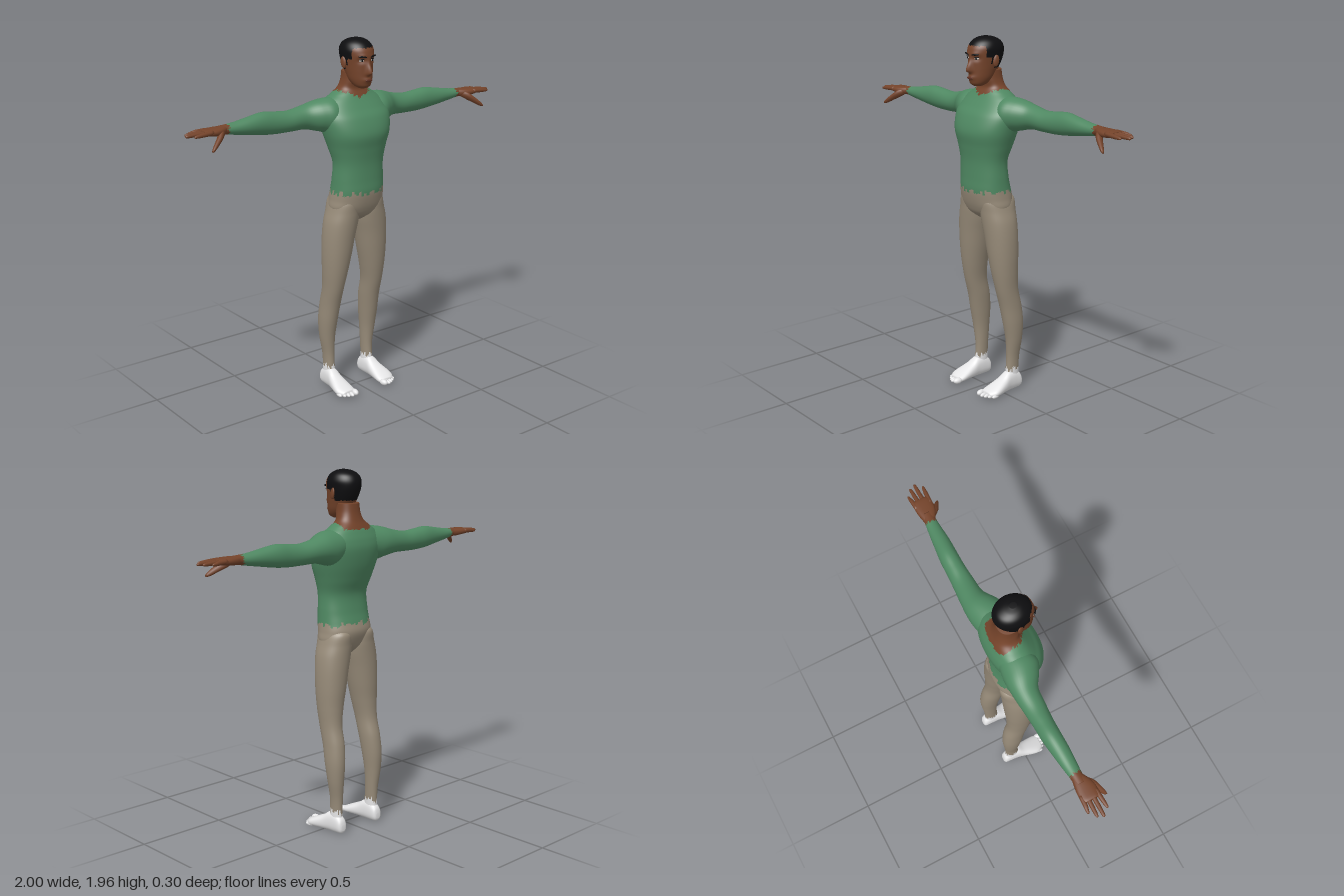
import * as THREE from 'three';

const mat = (name, color) => Object.assign(new THREE.MeshStandardMaterial({ color }), { name });
const skin = mat('skin', 0x74432a);
const shirt = mat('shirt green', 0x4f8862);
const trousers = mat('trouser taupe', 0x968a78);
const sock = mat('sock white', 0xe9e9ea);
const hair = mat('hair black', 0x0e0e10);
const eyeWhite = mat('eye white', 0xb9aea4);
const lip = mat('lip brown', 0x613325);

const ORDER = { x: [0, 1, 2], y: [1, 2, 0], z: [2, 0, 1] };

// Repeatable ragged value 0..1 for each column of a loft
const ragged = (j) => Math.abs(Math.sin(j * 12.9898 + 4.1) * 43758.5453) % 1;

// Smooth loft along an axis. Each section is [t, aMin, aMax, bMin, bMax],
// where (t, a, b) are (x, y, z), (y, z, x) or (z, x, y).
function loft(name, axis, sections, materials, o = {}) {
  const { segs = 32, steps = 5, power = 2, mirror = 1, pick, bend } = o;
  const rows = (sections.length - 1) * steps;
  const at = (i) => sections[Math.min(Math.max(i, 0), sections.length - 1)];
  const pos = [];
  const push = (t, a, b) => {
    const v = [0, 0, 0];
    [t, a, b].forEach((n, k) => { v[ORDER[axis][k]] = n; });
    if (bend) bend(v);
    pos.push(v[0] * mirror, v[1], v[2]);
  };
  const round = (n) => Math.sign(n) * Math.abs(n) ** (2 / power);
  let first, last;
  for (let r = 0; r <= rows; r++) {
    const i = Math.min(Math.floor(r / steps), sections.length - 2), f = r / steps - i;
    const s = at(i).map((p1, k) => {
      const p0 = at(i - 1)[k], p2 = at(i + 1)[k], p3 = at(i + 2)[k];
      return p1 + 0.5 * f * (p2 - p0 + f * (2 * p0 - 5 * p1 + 4 * p2 - p3 + f * (3 * (p1 - p2) + p3 - p0)));
    });
    const [t, a0, a1, b0, b1] = s;
    const c = [t, (a0 + a1) / 2, (b0 + b1) / 2];
    if (r === 0) first = c;
    last = c;
    for (let j = 0; j < segs; j++) {
      const q = (j / segs) * Math.PI * 2;
      push(t, c[1] + (a1 - a0) / 2 * round(Math.cos(q)), c[2] + (b1 - b0) / 2 * round(Math.sin(q)));
    }
  }
  push(...first);
  push(...last);
  const start = (rows + 1) * segs, end = start + 1;
  const lists = materials.map(() => []);
  const face = (a, b, c, j) => {
    const mid = [0, 1, 2].map((k) => (pos[a * 3 + k] + pos[b * 3 + k] + pos[c * 3 + k]) / 3);
    lists[pick ? pick(mid[0], mid[1], mid[2], ragged(j)) : 0].push(...(mirror > 0 ? [a, b, c] : [a, c, b]));
  };
  for (let j = 0; j < segs; j++) {
    const k = (j + 1) % segs;
    face(start, k, j, j);
    for (let r = 0; r < rows; r++) {
      const p = r * segs, n = p + segs;
      face(p + j, p + k, n + k, j);
      face(p + j, n + k, n + j, j);
    }
    face(end, rows * segs + j, rows * segs + k, j);
  }
  const g = new THREE.BufferGeometry();
  g.setAttribute('position', new THREE.Float32BufferAttribute(pos, 3));
  g.setIndex(lists.flat());
  let offset = 0;
  lists.forEach((l, m) => { g.addGroup(offset, l.length, m); offset += l.length; });
  g.computeVertexNormals();
  const mesh = new THREE.Mesh(g, materials);
  mesh.name = name;
  return mesh;
}

function blob(name, material, p, s, turn = [0, 0, 0]) {
  const mesh = new THREE.Mesh(new THREE.SphereGeometry(1, 16, 10), material);
  mesh.name = name;
  mesh.position.set(...p);
  mesh.scale.set(...s);
  mesh.rotation.set(...turn);
  return mesh;
}

export function createModel() {
  const body = new THREE.Group();
  body.name = 'standingFigure';

  // Trunk: hips, waist, chest, shoulders and neck
  const trunk = [
    [0.985, -0.05, 0.03, 0.05], [1.02, -0.085, 0.075, 0.12], [1.06, -0.105, 0.096, 0.16], [1.11, -0.118, 0.11, 0.156],
    [1.16, -0.108, 0.117, 0.151], [1.22, -0.094, 0.115, 0.148], [1.31, -0.086, 0.115, 0.146],
    [1.39, -0.113, 0.125, 0.166], [1.47, -0.138, 0.137, 0.191], [1.55, -0.151, 0.113, 0.207],
    [1.60, -0.145, 0.078, 0.197], [1.64, -0.13, 0.05, 0.165], [1.67, -0.116, 0.032, 0.122],
    [1.70, -0.103, 0.02, 0.08], [1.74, -0.092, 0.03, 0.064], [1.79, -0.085, 0.035, 0.06],
  ].map(([y, back, front, w]) => [y, back, front, -w, w]);
  body.add(loft('trunk', 'y', trunk, [trousers, shirt, skin], {
    segs: 64, steps: 7, power: 2.25,
    pick: (x, y, z, r) => {
      if (y < 1.135 + r * 0.035) return 0;
      return Math.abs(x) < 0.097 && y > 1.648 + r * 0.016 + (z > -0.05 ? 0.35 * Math.abs(x) : 0) ? 2 : 1;
    },
  }));

  // Head with brow, nose, lips and cropped hair
  const skull = [
    [1.706, 0.035, 0.075, 0.02], [1.72, 0.0, 0.096, 0.042], [1.75, -0.035, 0.101, 0.059],
    [1.79, -0.062, 0.103, 0.068], [1.83, -0.086, 0.104, 0.075], [1.87, -0.1, 0.106, 0.081],
    [1.905, -0.1, 0.101, 0.083], [1.935, -0.083, 0.08, 0.07], [1.954, -0.05, 0.05, 0.045], [1.962, -0.015, 0.02, 0.015],
  ].map(([y, back, front, w]) => [y, back, front, -w, w]);
  const bump = (v, c, w) => Math.exp(-(((v - c) / w) ** 2));
  body.add(loft('head', 'y', skull, [skin, hair], {
    segs: 72, steps: 7,
    bend: (v) => {
      if (v[2] < 0.03) return;
      const [x, y] = v, ax = Math.abs(x);
      const ridge = y > 1.79 ? bump(y, 1.79, 0.045) : bump(y, 1.79, 0.012);
      v[2] += 0.032 * ridge * bump(x, 0, 0.013);
      v[2] += 0.009 * bump(y, 1.752, 0.013) * bump(x, 0, 0.026);
      v[2] -= 0.009 * bump(y, 1.853, 0.014) * bump(ax, 0.034, 0.018);
      v[2] += 0.004 * bump(y, 1.877, 0.01) * bump(ax, 0.03, 0.025);
    },
    pick: (x, y, z, r) => {
      const line = z > 0.055 ? 1.915 : z > 0.025 ? 1.855 : z > 0 ? 1.825 : 1.8;
      return y > line + r * 0.006 ? 1 : 0;
    },
  }));
  body.add(blob('lips', lip, [0, 1.751, 0.108], [0.023, 0.008, 0.005]));

  for (const s of [1, -1]) {
    const side = new THREE.Group();
    side.name = s > 0 ? 'leftSide' : 'rightSide';
    body.add(side);

    // Ear, eye and eyebrow
    side.add(
      blob('ear', skin, [s * 0.083, 1.84, 0.0], [0.008, 0.031, 0.017], [-0.15, s * -0.3, 0]),
      blob('eye', eyeWhite, [s * 0.034, 1.853, 0.089], [0.015, 0.006, 0.006], [0, s * 0.3, 0]),
      blob('iris', hair, [s * 0.033, 1.853, 0.0935], [0.006, 0.0058, 0.0035]),
      blob('upperLid', hair, [s * 0.034, 1.86, 0.0925], [0.017, 0.003, 0.004], [0, s * 0.3, 0]),
      blob('eyebrow', hair, [s * 0.034, 1.874, 0.1], [0.024, 0.005, 0.005], [0, s * 0.32, s * 0.1]),
    );

    // Sleeve and wrist
    side.add(loft('arm', 'x', [
      [0.09, 1.50, 1.655, -0.13, 0.03], [0.16, 1.475, 1.658, -0.142, 0.055], [0.22, 1.487, 1.649, -0.145, 0.03],
      [0.29, 1.502, 1.628, -0.141, -0.012], [0.38, 1.502, 1.613, -0.133, -0.02], [0.46, 1.502, 1.618, -0.128, -0.026],
      [0.54, 1.508, 1.625, -0.126, -0.028], [0.63, 1.522, 1.612, -0.116, -0.028], [0.71, 1.535, 1.599, -0.106, -0.033],
      [0.77, 1.545, 1.594, -0.098, -0.036], [0.81, 1.547, 1.592, -0.1, -0.03],
    ], [shirt, skin], { segs: 36, steps: 6, mirror: s, pick: (x, y, z, r) => (Math.abs(x) > 0.745 + r * 0.02 ? 1 : 0) }));

    // Hand: palm, four fingers and thumb
    side.add(loft('palm', 'x', [
      [0.765, 1.55, 1.59, -0.095, -0.04], [0.80, 1.547, 1.591, -0.102, -0.02],
      [0.84, 1.55, 1.59, -0.108, -0.008], [0.885, 1.556, 1.588, -0.108, -0.01], [0.9, 1.564, 1.584, -0.1, -0.018],
    ], [skin], { segs: 24, steps: 4, power: 2.5, mirror: s }));
    const fingers = [['indexFinger', -0.02, -0.012, 0.968], ['middleFinger', -0.046, -0.047, 0.998],
      ['ringFinger', -0.072, -0.077, 0.985], ['littleFinger', -0.097, -0.105, 0.95]];
    for (const [name, z0, z1, tip] of fingers) {
      const ring = (x, f, r) => {
        const y = 1.574 - 0.006 * f, z = z0 + (z1 - z0) * f;
        return [x, y - r, y + r, z - r, z + r];
      };
      side.add(loft(name, 'x', [ring(0.86, 0, 0.012), ring(0.91, 0.4, 0.0115), ring(tip - 0.02, 0.8, 0.009),
        ring(tip - 0.004, 0.95, 0.006), ring(tip, 1, 0.002)], [skin], { segs: 12, steps: 3, mirror: s }));
    }
    side.add(loft('thumb', 'x', [
      [0.785, 1.55, 1.58, -0.055, -0.03], [0.815, 1.53, 1.574, -0.045, 0.0], [0.845, 1.512, 1.549, -0.02, 0.017],
      [0.875, 1.494, 1.522, 0.004, 0.03], [0.893, 1.489, 1.502, 0.02, 0.034],
    ], [skin], { segs: 14, steps: 4, mirror: s }));

    // Leg from buttock to ankle
    side.add(loft('leg', 'y', [
      [0.05, -0.12, -0.03, 0.108, 0.162], [0.12, -0.118, -0.038, 0.106, 0.162], [0.2, -0.121, -0.042, 0.104, 0.166],
      [0.3, -0.131, -0.034, 0.1, 0.182], [0.4, -0.136, -0.016, 0.091, 0.19], [0.5, -0.126, 0.004, 0.083, 0.188],
      [0.6, -0.103, 0.03, 0.078, 0.188], [0.7, -0.1, 0.05, 0.06, 0.194], [0.8, -0.105, 0.064, 0.039, 0.198],
      [0.9, -0.108, 0.074, 0.02, 0.196], [0.98, -0.11, 0.082, 0.003, 0.187], [1.04, -0.112, 0.087, -0.002, 0.17],
      [1.1, -0.113, 0.09, 0.01, 0.15], [1.13, -0.08, 0.07, 0.04, 0.12],
    ], [sock, trousers], {
      segs: 40, steps: 8, power: 2.1, mirror: s, pick: (x, y, z, r) => (y > 0.105 + r * 0.04 ? 1 : 0),
    }));

    // Foot and toes
    side.add(loft('foot', 'z', [
      [-0.137, 0.12, 0.148, 0.02, 0.05], [-0.126, 0.106, 0.162, 0.004, 0.085], [-0.085, 0.102, 0.167, 0, 0.115],
      [-0.04, 0.1, 0.172, 0, 0.112], [0, 0.095, 0.182, 0, 0.086], [0.05, 0.089, 0.194, 0, 0.062],
      [0.085, 0.087, 0.194, 0, 0.046], [0.115, 0.092, 0.172, 0.003, 0.032],
    ], [sock], { segs: 28, steps: 4, power: 2.3, mirror: s }));
    [[0.102, 0.122, 0.017], [0.127, 0.121, 0.012], [0.147, 0.112, 0.011], [0.166, 0.1, 0.011], [0.184, 0.084, 0.011]]
      .forEach(([x, z, r], i) => side.add(blob('toe' + (i + 1), sock, [s * x, r + 0.002, z], [r, r, 0.027], [0, s * 0.15, 0])));
  }
  return body;
}
